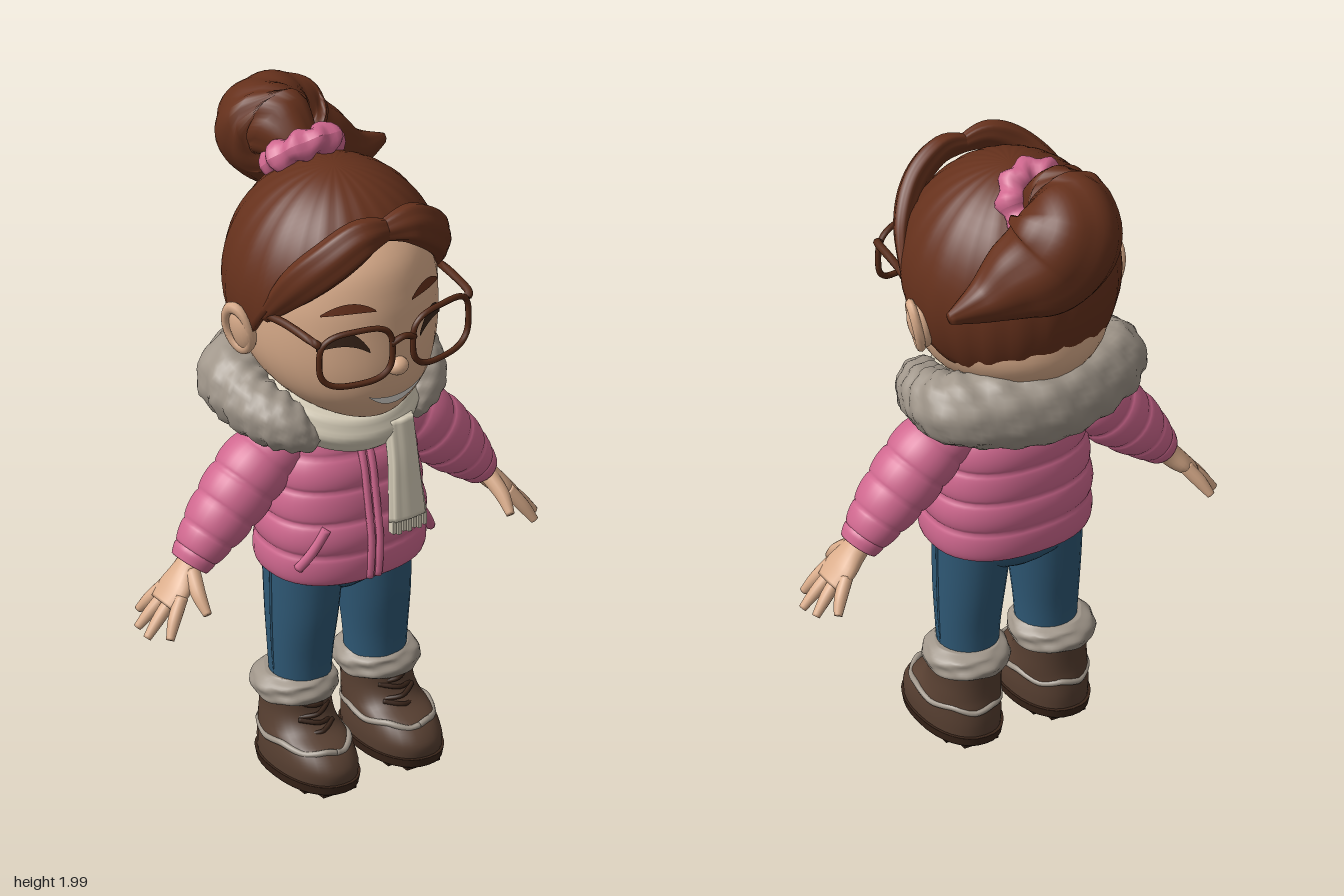
import * as THREE from 'three';
import { mergeVertices } from 'three/addons/utils/BufferGeometryUtils.js';

const mat = (name, color) => Object.assign(new THREE.MeshStandardMaterial({ color }), { name });
const hairMat = mat('hair brown', 0x66311c), skin = mat('skin', 0xdcae8c), pink = mat('jacket pink', 0xd0688f);
const denim = mat('denim blue', 0x2f5976), fur = mat('fur grey', 0xa0968a), cream = mat('scarf cream', 0xd9d0bb);
const leather = mat('boot brown', 0x573f31), dark = mat('dark brown', 0x382419), frame = mat('glasses brown', 0x552a17);
const white = mat('teeth white', 0xf4efe8);

// Smooth surface through a grid of points; u runs right and v up when seen from outside.
function grid(nu, nv, fn) {
  const pos = [], index = [];
  for (let j = 0; j <= nv; j++) for (let i = 0; i <= nu; i++) pos.push(...fn(i / nu, j / nv, j));
  for (let j = 0; j < nv; j++) for (let i = 0; i < nu; i++) {
    const a = j * (nu + 1) + i, b = a + nu + 1;
    index.push(a, a + 1, b + 1, a, b + 1, b);
  }
  const g = new THREE.BufferGeometry();
  g.setAttribute('position', new THREE.Float32BufferAttribute(pos, 3));
  g.setIndex(index);
  const m = mergeVertices(g, 1e-5);
  m.computeVertexNormals();
  return m;
}

// Smooth interpolation through rows of numbers.
function interp(rows, t) {
  const n = rows.length - 1, k = Math.min(n - 1, Math.floor(t * n)), f = t * n - k;
  const [p, a, b, q] = [rows[Math.max(0, k - 1)], rows[k], rows[k + 1], rows[Math.min(n, k + 2)]];
  return a.map((v, i) => {
    const m0 = (b[i] - p[i]) / 2, m1 = (q[i] - v) / 2, d = b[i] - v;
    return v + f * (m0 + f * (3 * d - 2 * m0 - m1 + f * (m0 + m1 - 2 * d)));
  });
}

// Closed-ended sweep. Rows are [x, y, z, radius along ref, radius across]; flat keeps rings level.
function sweep(rows, { ref = [0, 0, 1], flat = false, seg = 20, steps = rows.length * 4, mod = () => 1, e = 1 } = {}) {
  const up = new THREE.Vector3(...ref);
  const rings = Array.from({ length: steps + 1 }, (_, j) => {
    const t = j / steps, r = interp(rows, t), c = new THREE.Vector3(...r);
    const T = flat ? new THREE.Vector3(0, 1, 0) : new THREE.Vector3(...interp(rows, Math.min(1, t + 0.01)))
      .sub(new THREE.Vector3(...interp(rows, Math.max(0, t - 0.01)))).normalize();
    const N = up.clone().addScaledVector(T, -up.dot(T)).normalize();
    return { t, c, N, B: T.clone().cross(N), a: r[3], b: r[4] };
  });
  const curve = (v) => Math.sign(v) * Math.abs(v) ** e;
  return grid(seg, steps + 2, (u, _, j) => {
    const k = Math.min(steps, Math.max(0, j - 1)), R = rings[k], p = R.c.clone();
    if (j > 0 && j < steps + 2) {
      const A = (u % 1) * Math.PI * 2, m = mod(R.t, A);
      p.addScaledVector(R.N, R.a * m * curve(Math.cos(A))).addScaledVector(R.B, R.b * m * curve(Math.sin(A)));
    }
    return p.toArray();
  });
}

const flip = (s, rows) => rows.map(([x, ...r]) => [s * x, ...r]);
const rod = (pts, r) => sweep(pts.map((p) => [...p, r, r]), { seg: 8, ref: [0.1, 0.2, 1] });
const puffs = (n, amp) => (t) => 1 - amp + 1.6 * amp * Math.sqrt(Math.abs(Math.sin(Math.PI * n * t)));
const lumps = (f, amp) => (t, a) => 1 + amp * (Math.sin(f * t + 3 * a) * Math.sin(5 * a - f * 0.6 * t)
  + 0.7 * Math.sin(f * 1.7 * t - 4 * a) + 0.4 * Math.sin(f * 2.3 * t + 7 * a));

// Head rows: [x, y, z, depth radius, width radius]
const headRows = [[0, 1.16, 0.21, 0.06, 0.05], [0, 1.18, 0.17, 0.14, 0.12], [0, 1.22, 0.12, 0.22, 0.185],
  [0, 1.28, 0.09, 0.28, 0.235], [0, 1.36, 0.07, 0.31, 0.268], [0, 1.46, 0.07, 0.305, 0.28],
  [0, 1.56, 0.07, 0.295, 0.275], [0, 1.66, 0.07, 0.262, 0.245], [0, 1.74, 0.06, 0.19, 0.19], [0, 1.78, 0.06, 0.1, 0.1]];
function faceZ(x, y) {
  let k = 0;
  while (k < headRows.length - 2 && headRows[k + 1][1] < y) k++;
  const r = interp(headRows, (k + (y - headRows[k][1]) / (headRows[k + 1][1] - headRows[k][1])) / (headRows.length - 1));
  return r[2] + r[3] * Math.sqrt(Math.max(0, 1 - (x / r[4]) ** 2));
}
// Thin painted patch that follows the face, between a top and a bottom curve.
const patch = (cx, half, top, bottom) => grid(16, 4, (u, v) => {
  const k = u * 2 - 1, x = cx + half * k, y = bottom(k) + (top(k) - bottom(k)) * v;
  return [x, y, faceZ(x, y) + 0.007];
});

export function createModel() {
  const model = new THREE.Group();
  const add = (name, geo, material, parent = model) => {
    const m = new THREE.Mesh(geo, material);
    m.name = name;
    parent.add(m);
    return m;
  };

  // Head and face
  add('head', sweep(headRows, { flat: true, seg: 36, steps: 40 }), skin);
  add('nose', new THREE.SphereGeometry(0.03, 16, 12).scale(1.1, 0.9, 1).translate(0, 1.37, 0.382), skin);
  add('smile', patch(0.01, 0.092, (k) => 1.272 + 0.016 * k * k + 0.006 * k, (k) => 1.238 + 0.05 * k * k + 0.006 * k), white);

  // Hair cap: columns from the crown down to a hairline that varies around the head
  const line = [[1.74], [1.73], [1.67], [1.55], [1.39], [1.33], [1.3], [1.29], [1.28]];
  add('hairCap', grid(96, 22, (u, v, j) => {
    const a = (u % 1) * Math.PI * 2, side = Math.min(u, 1 - u) * 2;
    const end = Math.acos((interp(line, side)[0] - 1.52) / 0.345);
    const p = end * Math.min(1, (1 - v) * 22 / 20);
    const r = (j === 0 ? 0.86 : j === 1 ? 0.95 : 1) * (1 + 0.014 * Math.sin(p) * (Math.abs(Math.sin(a * 11)) - 0.5));
    return [0.31 * r * Math.sin(p) * Math.sin(a), 1.52 + 0.345 * r * Math.cos(p), 0.06 + 0.315 * r * Math.sin(p) * Math.cos(a)];
  }), hairMat);

  // Ponytail and scrunchie
  add('ponytail', sweep([[0, 1.83, -0.1, 0.06, 0.06], [-0.015, 1.88, -0.21, 0.105, 0.12], [0.015, 1.835, -0.28, 0.14, 0.16],
    [0.08, 1.76, -0.285, 0.13, 0.155], [0.17, 1.715, -0.265, 0.1, 0.12], [0.27, 1.675, -0.255, 0.06, 0.065], [0.385, 1.665, -0.27, 0.014, 0.018]],
  { ref: [0.3, 0.2, -1], seg: 48, steps: 40, mod: (t, a) => 1 + 0.05 * (Math.abs(Math.sin(3.5 * a + 2 * t)) - 0.5) }), hairMat);
  const band = new THREE.TorusGeometry(0.08, 0.042, 14, 48), bp = band.attributes.position;
  for (let i = 0; i < bp.count; i++) {
    const a = Math.atan2(bp.getY(i), bp.getX(i)), k = 1 + 0.07 * Math.sin(9 * a);
    bp.setXYZ(i, bp.getX(i) * k, bp.getY(i) * k, bp.getZ(i) * (1 + 0.2 * Math.sin(7 * a)));
  }
  band.computeVertexNormals();
  add('scrunchie', band.rotateX(0.8).translate(0, 1.835, -0.095), pink);

  // Jacket body, inner collar and zip
  add('jacketBody', sweep([[0, 0.64, 0.09, 0.19, 0.24], [0, 0.76, 0.09, 0.195, 0.245], [0, 0.88, 0.085, 0.183, 0.235],
    [0, 1, 0.08, 0.168, 0.215], [0, 1.12, 0.07, 0.125, 0.165]], { flat: true, seg: 40, steps: 60, e: 0.85, mod: puffs(5, 0.035) }), pink);
  add('innerCollar', sweep([[0, 1.06, 0.03, 0.15, 0.18], [0, 1.15, 0.02, 0.16, 0.2], [0, 1.25, 0.02, 0.14, 0.2]], { flat: true }), pink);
  for (const x of [-0.026, 0.002]) {
    add('zipFlap', rod([[x, 0.65, 0.282], [x, 0.76, 0.292], [x, 0.88, 0.275], [x, 1, 0.252], [x, 1.08, 0.22]], 0.011), pink);
  }

  // Fur hood collar, open at the front
  const half = [[0.16, 1.09, 0.215, 0.03, 0.03], [0.225, 1.14, 0.16, 0.075, 0.07], [0.265, 1.175, 0.04, 0.09, 0.085],
    [0.23, 1.2, -0.09, 0.11, 0.1]];
  add('furCollar', sweep([...half, [0, 1.195, -0.16, 0.125, 0.1], ...flip(-1, half).reverse()],
    { ref: [0, 1, 0], seg: 36, steps: 110, mod: lumps(75, 0.05) }), fur);

  // Scarf wrap, hanging end and fringe
  const wrap = Array.from({ length: 17 }, (_, i) => {
    const a = Math.PI + i / 16 * Math.PI * 2;
    return [0.185 * Math.sin(a), 1.18 - 0.07 * Math.cos(a), 0.085 + 0.17 * Math.cos(a), 0.058, 0.045];
  });
  add('scarfWrap', sweep(wrap, { ref: [0, 1, 0], steps: 64, seg: 32, mod: (t, a) => 1 + 0.06 * Math.cos(6 * a + 5 * t) }), cream);
  add('scarfEnd', sweep([[0.075, 1.13, 0.27, 0.03, 0.045], [0.078, 1.02, 0.29, 0.024, 0.047], [0.08, 0.92, 0.3, 0.022, 0.053],
    [0.082, 0.825, 0.31, 0.02, 0.06]], { seg: 36, e: 0.8, mod: (t, a) => 1 + 0.06 * Math.cos(8 * a) }), cream);
  for (let i = 0; i < 7; i++) {
    add('scarfFringe', new THREE.BoxGeometry(0.012, 0.04, 0.024).translate(0.031 + i * 0.017, 0.808 - (i % 2) * 0.006, 0.311), cream);
  }

  add('hips', sweep([[0, 0.55, 0.07, 0.08, 0.08], [0, 0.6, 0.07, 0.13, 0.205], [0, 0.68, 0.075, 0.14, 0.22]], { flat: true, seg: 28 }), denim);

  // Glasses bridge
  const lensZ = (x) => 0.41 - 0.74 * x * x;
  add('glassesBridge', rod([[-0.04, 1.465, 0.41], [0, 1.48, 0.415], [0.04, 1.465, 0.41]], 0.01), frame);

  // Everything that is mirrored
  for (const s of [1, -1]) {
    const side = new THREE.Group();
    side.name = s > 0 ? 'leftSide' : 'rightSide';
    model.add(side);
    const put = (name, geo, m) => add(name, geo, m, side);
    const part = (name, rows, m, opt) => put(name, sweep(flip(s, rows), opt), m);

    // Closed smiling eye, brow, ear and swept fringe
    put('eye', patch(s * 0.145, 0.062, (k) => 1.44 + 0.058 * (1 - k * k), (k) => 1.43 + 0.024 * (1 - k * k)), dark);
    put('brow', patch(s * 0.128, 0.068, (k) => 1.553 + 0.03 * (1 - k * k) - s * 0.006 * k, (k) => 1.548 + 0.006 * (1 - k * k) - s * 0.006 * k), hairMat);
    put('ear', new THREE.SphereGeometry(1, 20, 14).scale(0.03, 0.075, 0.05).rotateZ(-s * 0.2).translate(s * 0.297, 1.425, 0.05), skin);
    put('earRim', new THREE.TorusGeometry(0.05, 0.014, 8, 24).scale(0.85, 1.4, 1).rotateY(Math.PI / 2 - s * 0.3)
      .rotateZ(-s * 0.2).translate(s * 0.312, 1.43, 0.048), skin);
    part('fringeLock', [[-0.01, 1.775, 0.32, 0.02, 0.03], [0.08, 1.775, 0.325, 0.034, 0.055], [0.17, 1.715, 0.3, 0.036, 0.062],
      [0.24, 1.625, 0.235, 0.03, 0.055], [0.287, 1.5, 0.14, 0.01, 0.02]], hairMat,
    { ref: [s * 0.5, 0.3, 0.8], seg: 36, steps: 30, mod: (t, a) => 1 + 0.05 * Math.cos(7 * a) });

    // Glasses rim and arm
    const rim = Array.from({ length: 24 }, (_, i) => {
      const a = i / 24 * Math.PI * 2, c = Math.cos(a), n = Math.sin(a);
      const x = s * 0.142 + 0.108 * Math.sign(c) * Math.abs(c) ** 0.65;
      return new THREE.Vector3(x, 1.445 + 0.085 * Math.sign(n) * Math.abs(n) ** 0.65, lensZ(x));
    });
    put('glassesRim', new THREE.TubeGeometry(new THREE.CatmullRomCurve3(rim, true), 72, 0.009, 8, true), frame);
    put('glassesArm', rod(flip(s, [[0.248, 1.5, 0.36], [0.262, 1.512, 0.34], [0.275, 1.515, 0.2], [0.29, 1.49, 0.07]]), 0.012), frame);

    // Sleeve, cuff and pocket
    part('sleeve', [[0.16, 1.05, 0.065, 0.09, 0.085], [0.255, 0.99, 0.065, 0.103, 0.1], [0.335, 0.91, 0.065, 0.102, 0.1],
      [0.41, 0.83, 0.065, 0.09, 0.085], [0.465, 0.765, 0.065, 0.07, 0.063]], pink, { seg: 28, steps: 60, mod: puffs(5, 0.05) });
    part('cuff', [[0.452, 0.785, 0.065, 0.06, 0.055], [0.468, 0.762, 0.065, 0.07, 0.062], [0.486, 0.738, 0.065, 0.062, 0.054]], pink);
    put('pocketWelt', rod(flip(s, [[0.222, 0.705, 0.215], [0.19, 0.76, 0.24], [0.15, 0.825, 0.25]]), 0.014), pink);

    // Hand with fingers and thumb
    part('palm', [[0.46, 0.77, 0.065, 0.038, 0.035], [0.5, 0.72, 0.067, 0.045, 0.033], [0.54, 0.675, 0.07, 0.062, 0.03],
      [0.58, 0.64, 0.07, 0.05, 0.02]], skin);
    const tips = [[0.6, 0.585, -0.02], [0.64, 0.565, 0.035], [0.648, 0.56, 0.095], [0.61, 0.57, 0.155]];
    tips.forEach(([x, y, z], i) => part('finger', [[0.545, 0.67, 0.028 + i * 0.029, 0.019, 0.02],
      [(0.555 + x) / 2, (0.665 + y) / 2, (0.028 + i * 0.029 + z) / 2, 0.019, 0.019], [x, y, z, 0.012, 0.012]], skin, { seg: 12 }));
    part('thumb', [[0.495, 0.725, 0.09, 0.025, 0.025], [0.508, 0.68, 0.145, 0.021, 0.021], [0.507, 0.635, 0.19, 0.012, 0.012]], skin,
      { seg: 12, ref: [1, 0, 0] });

    // Trouser leg and outer seam
    part('trouserLeg', [[0.125, 0.25, 0.08, 0.088, 0.085], [0.125, 0.36, 0.08, 0.094, 0.092], [0.12, 0.5, 0.08, 0.113, 0.102],
      [0.112, 0.66, 0.075, 0.125, 0.112]], denim, { flat: true, seg: 28 });
    put('seam', rod(flip(s, [[0.21, 0.3, 0.08], [0.217, 0.38, 0.08], [0.222, 0.5, 0.08], [0.224, 0.64, 0.08]]), 0.004), denim);

    // Boot: upper, sole, treads, welt trim, laces and fur cuff
    part('bootUpper', [[0.14, 0.03, 0.14, 0.182, 0.108], [0.14, 0.075, 0.14, 0.184, 0.11], [0.14, 0.12, 0.122, 0.162, 0.106],
      [0.138, 0.155, 0.088, 0.122, 0.1], [0.136, 0.2, 0.073, 0.104, 0.096], [0.135, 0.26, 0.07, 0.1, 0.097]], leather,
    { flat: true, seg: 32, steps: 30, e: 0.9 });
    part('bootSole', [[0.14, 0.012, 0.14, 0.186, 0.11], [0.14, 0.04, 0.14, 0.192, 0.115]], dark, { flat: true, seg: 32, e: 0.9 });
    for (let i = 0; i < 7; i++) {
      put('tread', new THREE.BoxGeometry(i % 6 ? 0.17 : 0.11, 0.014, 0.026).translate(s * 0.14, 0.007, -0.01 + i * 0.05), dark);
    }
    const welt = Array.from({ length: 25 }, (_, i) => {
      const a = i / 24 * Math.PI * 2;
      return [0.14 + 0.106 * Math.sin(a), 0.122 + 0.006 * Math.sin(a * 6), 0.122 + 0.162 * Math.cos(a), 0.009, 0.009];
    });
    part('weltTrim', welt, fur, { ref: [0, 1, 0], seg: 8, steps: 72 });
    for (let i = 0; i < 4; i++) {
      const y = 0.155 + i * 0.022, z = 0.212 - i * 0.012, d = i % 2 ? 0.01 : -0.01;
      put('lace', rod(flip(s, [[0.085, y - d, z - 0.03], [0.137, y, z], [0.19, y + d, z - 0.03]]), 0.007), dark);
    }
    part('bootFur', [[0.135, 0.22, 0.07, 0.09, 0.09], [0.137, 0.235, 0.068, 0.118, 0.115], [0.137, 0.262, 0.068, 0.125, 0.122],
      [0.135, 0.288, 0.07, 0.115, 0.112], [0.132, 0.302, 0.073, 0.09, 0.09]], fur, { flat: true, seg: 48, mod: lumps(9, 0.03) });
  }
  return model;
}
